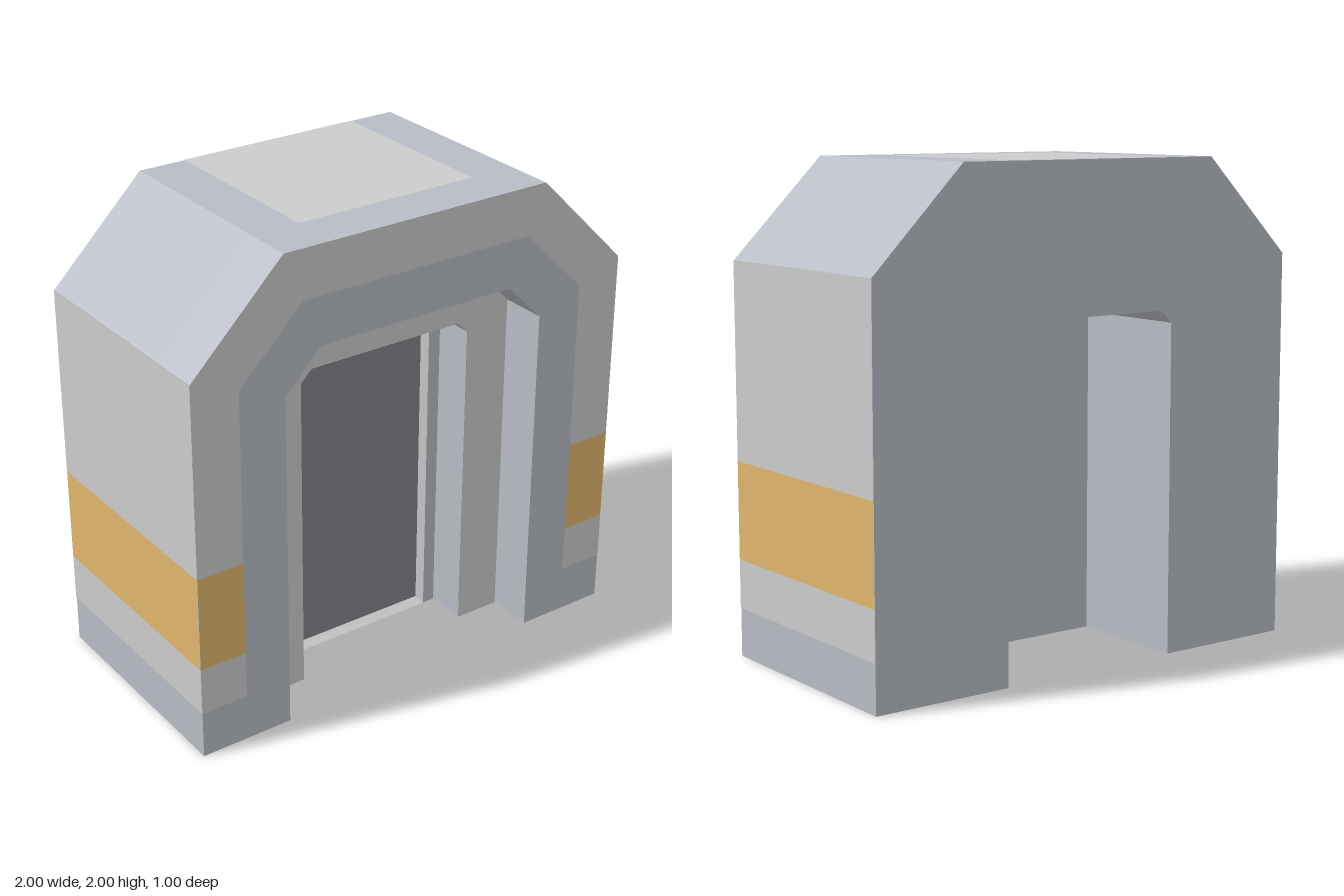
import * as THREE from 'three';

const material = (color) => new THREE.MeshStandardMaterial({ color });
const trim = material(0xb8bcc4);
const light = material(0xcccccc);
const orange = material(0xe0b56c);
const dark = material(0x80838a);
const LIFT = 0.002; // painted areas sit just above the body

// Doorway outline with chamfered top corners, counter-clockwise from bottom right
const outline = (w, h, c, y0 = 0) => [
  [w, y0], [w, h - c], [w - c, h], [c - w, h], [-w, h - c], [-w, y0],
].map(([x, y]) => new THREE.Vector2(x, y));

// Arch-shaped band between two outlines, open at the bottom
const arch = (outer, inner) => new THREE.Shape([...outer, ...[...inner].reverse()]);

const slab = (shape, z0, z1) =>
  new THREE.ExtrudeGeometry(shape, { depth: z1 - z0, bevelEnabled: false }).translate(0, 0, z0);

const face = (shape, z) => new THREE.ShapeGeometry(shape).translate(0, 0, z);

// Sloped ring joining two outlines at different depths
function slope(a, za, b, zb) {
  const pos = [];
  a.forEach((p, i) => {
    const j = (i + 1) % a.length;
    const A = [p.x, p.y, za], B = [a[j].x, a[j].y, za];
    const C = [b[i].x, b[i].y, zb], D = [b[j].x, b[j].y, zb];
    pos.push(...A, ...B, ...C, ...B, ...D, ...C);
  });
  const g = new THREE.BufferGeometry();
  g.setAttribute('position', new THREE.Float32BufferAttribute(pos, 3));
  g.computeVertexNormals();
  return g;
}

export function createModel() {
  const model = new THREE.Group();
  const add = (name, geometry, mat) => {
    const mesh = new THREE.Mesh(geometry, mat);
    mesh.name = name;
    model.add(mesh);
  };

  const outer = outline(1, 2, 0.4);
  const wide = outline(0.6, 1.6, 0.16);
  const narrow = outline(0.4, 1.4, 0.05);

  // Body: a wide front opening stepping in to a narrow passage
  add('frontArch', slab(arch(outer, wide), 0.3, 0.5), trim);
  add('rearArch', slab(arch(outer, narrow), -0.5, 0.3), trim);

  // Light painted areas on the front, inner step and roof
  add('frontBorder', face(arch(outline(1, 2, 0.4, 0.8), outline(0.8, 1.8, 0.28, 0.8)), 0.5 + LIFT), light);
  add('innerStep', face(arch(wide, narrow), 0.3 + LIFT), light);
  add('roofPanel', new THREE.PlaneGeometry(0.8, 0.8).rotateX(-Math.PI / 2).translate(0, 2 + LIFT, -0.1), light);

  // Bands around the sides, wrapping onto the front of each leg
  const bands = [
    ['lowerBand', 0.2, 0.4, light, true],
    ['warningStripe', 0.4, 0.8, orange, true],
    ['upperBand', 0.8, 1.6, light, false],
  ];
  for (const [name, y0, y1, mat, wraps] of bands) {
    const h = y1 - y0, y = (y0 + y1) / 2;
    for (const s of [-1, 1]) {
      const side = s > 0 ? 'Left' : 'Right';
      add(name + 'Side' + side,
        new THREE.PlaneGeometry(1, h).rotateY(s * Math.PI / 2).translate(s * (1 + LIFT), y, 0), mat);
      if (wraps) {
        add(name + 'Front' + side, new THREE.PlaneGeometry(0.2, h).translate(s * 0.9, y, 0.5 + LIFT), mat);
      }
    }
  }

  // Door: backing slab, surrounding frame, sloped edge and dark panel
  const rim = outline(0.345, 1.345, 0.012);
  const inset = outline(0.33, 1.33, 0.005, 0.02);
  add('doorBacking', slab(new THREE.Shape(narrow), 0.025, 0.088), trim);
  add('doorFrame', slab(arch(narrow, rim), 0.088, 0.125), trim);
  add('doorEdge', slope(rim, 0.125, inset, 0.09), light);
  add('doorPanel', face(new THREE.Shape(inset), 0.09), dark);

  return model;
}
